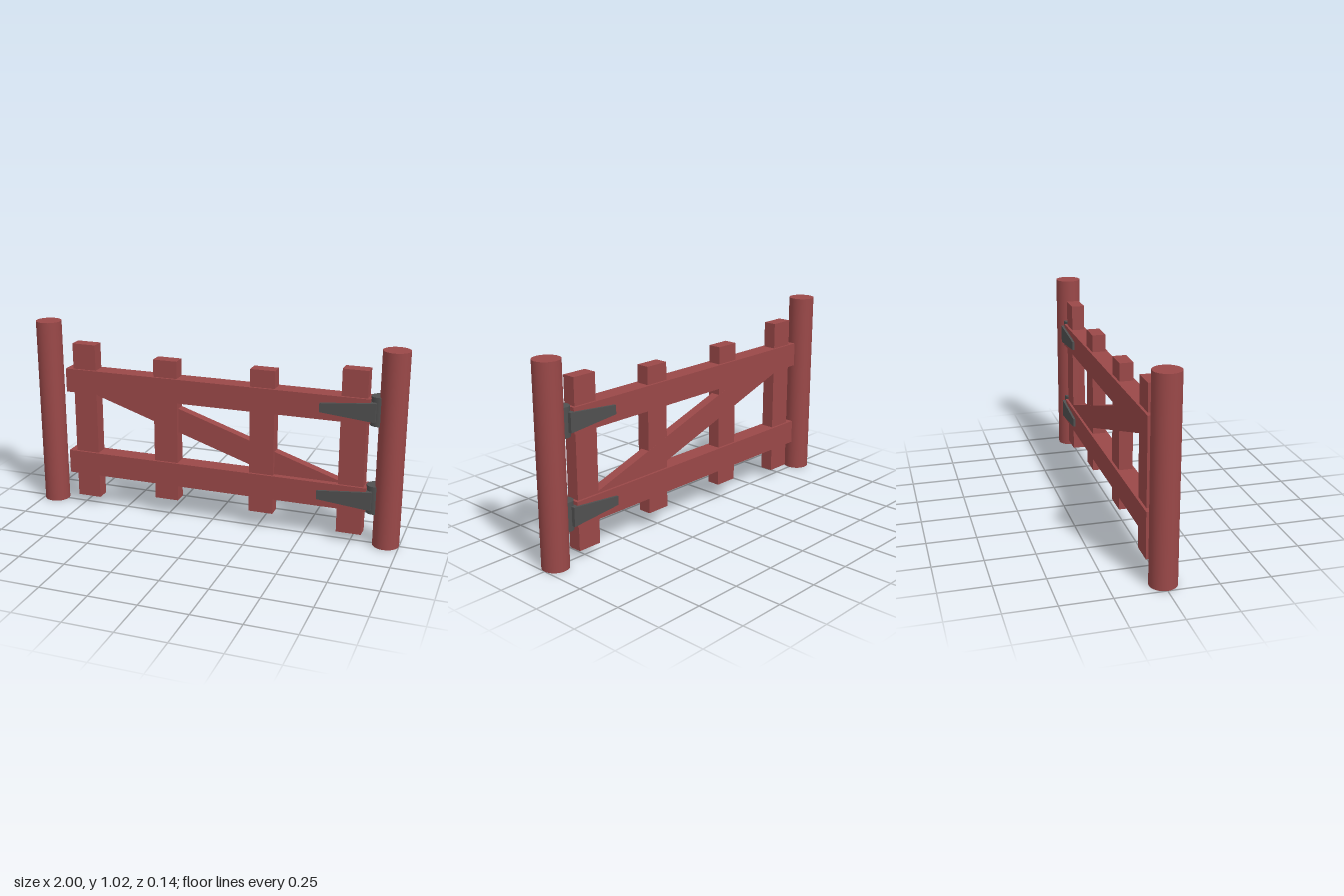
import * as THREE from 'three';

const wood = new THREE.MeshStandardMaterial({ color: 0x9a4848 });
const iron = new THREE.MeshStandardMaterial({ color: 0x505050 });

export function createModel() {
  const gate = new THREE.Group();
  gate.name = 'gate';

  const add = (name, geometry, material, x, y, z = 0) => {
    const mesh = new THREE.Mesh(geometry, material);
    mesh.name = name;
    mesh.position.set(x, y, z);
    gate.add(mesh);
    return mesh;
  };

  // Flat outline extruded from zBack to zFront
  const slab = (points, zBack, zFront) => {
    const shape = new THREE.Shape(points.map(([x, y]) => new THREE.Vector2(x, y)));
    const geometry = new THREE.ExtrudeGeometry(shape, { depth: zFront - zBack, bevelEnabled: false });
    return geometry.translate(0, 0, zBack);
  };

  // Round posts
  for (const [name, x] of [['rightPost', -0.932], ['leftPost', 0.932]]) {
    add(name, new THREE.CylinderGeometry(0.068, 0.068, 1.016, 32), wood, x, 0.508);
  }

  // Upright slats: the outer pair is taller
  for (const [x, height] of [[-0.713, 0.862], [-0.251, 0.77], [0.276, 0.77], [0.745, 0.862]]) {
    add('slat', new THREE.BoxGeometry(0.13, height, 0.07), wood, x, 0.48);
  }

  // Diagonal brace, flush with the back of the slats
  const braceY = (x) => 0.48 - 0.33 * x;
  const [x0, x1, half] = [-0.66, 0.69, 0.065];
  add('brace', slab([
    [x0, braceY(x0) - half], [x1, braceY(x1) - half],
    [x1, braceY(x1) + half], [x0, braceY(x0) + half],
  ], -0.0355, 0.015), wood, 0, 0);

  // Rails, each with a tapered hinge strap and a barrel against the post
  for (const [level, y] of [['lower', 0.246], ['upper', 0.709]]) {
    add(level + 'Rail', new THREE.BoxGeometry(1.643, 0.128, 0.096), wood, 0.004, y);
    add(level + 'HingeStrap', slab([
      [0.576, -0.023], [0.855, -0.049], [0.855, 0.049], [0.576, 0.023],
    ], -0.06, 0.06), iron, 0, y);
    add(level + 'HingeBarrel', new THREE.CylinderGeometry(0.042, 0.042, 0.148, 24), iron, 0.862, y);
  }

  return gate;
}
